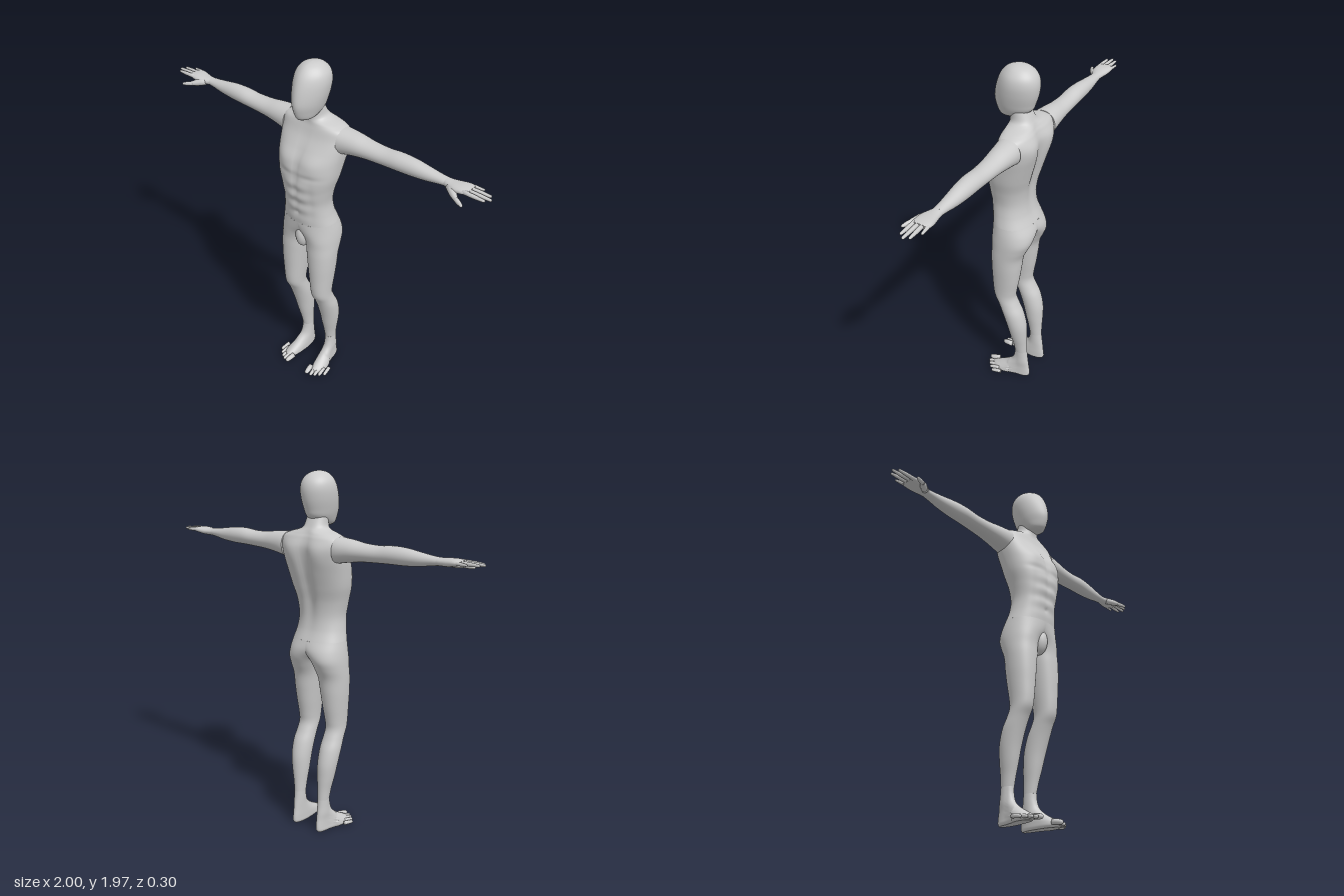
import * as THREE from 'three';

const material = new THREE.MeshStandardMaterial({ color: 0xcccccc });
const bump = (d, w) => Math.exp(-(d * d) / (w * w));

// Smooth blend through rows of numbers; t counts rows.
function sampleRow(rows, t) {
  const i = Math.min(Math.floor(t), rows.length - 2), f = t - i;
  const at = k => rows[Math.max(0, Math.min(rows.length - 1, k))];
  const [a, b, c, d] = [at(i - 1), at(i), at(i + 1), at(i + 2)];
  return b.map((p, k) => p + 0.5 * f * (c[k] - a[k]
    + f * (2 * a[k] - 5 * p + 4 * c[k] - d[k] + f * (3 * (p - c[k]) + d[k] - a[k]))));
}

// Skin over oval sections. Row: [position, u0, u1, v0, v1, squareness].
// Along y: u = x, v = z. Along x: u = z, v = y.
function loft(rows, { axis = 'y', seg = 40, steps = 6, deform } = {}) {
  const pos = [], index = [], n = (rows.length - 1) * steps;
  const p = new THREE.Vector3();
  for (let i = 0; i <= n; i++) {
    const [s, u0, u1, v0, v1, e] = sampleRow(rows, i / steps);
    for (let j = 0; j < seg; j++) {
      const t = j / seg * Math.PI * 2, c = Math.cos(t), q = Math.sin(t);
      const uu = Math.sign(c) * Math.abs(c) ** (2 / e), vv = Math.sign(q) * Math.abs(q) ** (2 / e);
      const u = (u0 + u1) / 2 + uu * (u1 - u0) / 2, v = (v0 + v1) / 2 + vv * (v1 - v0) / 2;
      if (axis === 'y') p.set(u, s, v); else p.set(s, v, u);
      if (deform) deform(p, vv);
      pos.push(p.x, p.y, p.z);
      if (i < n) {
        const a = i * seg + j, b = i * seg + (j + 1) % seg;
        index.push(a, a + seg, b, b, a + seg, b + seg);
      }
    }
  }
  // End caps with their own vertices
  for (const end of [0, n]) {
    const base = pos.length / 3, mid = [0, 0, 0];
    for (let j = 0; j < seg; j++) for (let k = 0; k < 3; k++) {
      const val = pos[(end * seg + j) * 3 + k];
      pos.push(val);
      mid[k] += val / seg;
    }
    pos.push(...mid);
    for (let j = 0; j < seg; j++) {
      const a = base + j, b = base + (j + 1) % seg;
      index.push(base + seg, ...(end ? [b, a] : [a, b]));
    }
  }
  const g = new THREE.BufferGeometry();
  g.setAttribute('position', new THREE.Float32BufferAttribute(pos, 3));
  g.setIndex(index);
  g.computeVertexNormals();
  return g;
}

// Tapered digit with a rounded tip, from a to b
function digit(a, b, r0, r1) {
  const A = new THREE.Vector3(...a), dir = new THREE.Vector3(...b).sub(A), L = dir.length();
  const profile = [[0, 0], [r0, 0], [r0 * 0.95, L * 0.3], [r0 * 0.95, L * 0.5], [r1, L - r1],
    [r1 * 0.75, L - r1 * 0.35], [r1 * 0.4, L - r1 * 0.08], [0, L]].map(q => new THREE.Vector2(...q));
  const g = new THREE.LatheGeometry(profile, 12);
  g.applyQuaternion(new THREE.Quaternion().setFromUnitVectors(new THREE.Vector3(0, 1, 0), dir.normalize()));
  return g.translate(A.x, A.y, A.z);
}

function mirrored(geometry) {
  const g = geometry.clone().scale(-1, 1, 1), ix = g.index.array;
  for (let i = 0; i < ix.length; i += 3) [ix[i], ix[i + 1]] = [ix[i + 1], ix[i]];
  return g;
}

export function createModel() {
  const model = new THREE.Group();
  const add = (name, g) => {
    const m = new THREE.Mesh(g, material);
    m.name = name;
    model.add(m);
  };
  const addPair = (name, g) => {
    add('left' + name, g);
    add('right' + name, mirrored(g));
  };

  // Head: a smooth egg narrowing toward the face
  add('head', loft([
    [1.69, -0.022, 0.022, 0.02, 0.08, 2], [1.705, -0.048, 0.048, -0.03, 0.1, 2],
    [1.74, -0.066, 0.066, -0.085, 0.115, 2], [1.78, -0.078, 0.078, -0.103, 0.122, 2],
    [1.83, -0.088, 0.088, -0.117, 0.115, 2], [1.88, -0.091, 0.091, -0.121, 0.1, 2],
    [1.92, -0.082, 0.082, -0.11, 0.08, 2], [1.95, -0.058, 0.058, -0.083, 0.052, 2],
    [1.965, -0.03, 0.03, -0.05, 0.022, 2], [1.97, -0.002, 0.002, -0.014, -0.01, 2],
  ], { deform: (p, f) => { p.x *= 1 - 0.25 * Math.max(0, f) ** 2; } }));

  // Torso with chest, belly and back muscles, ending in the neck
  add('torso', loft([
    [1.09, -0.155, 0.155, -0.118, 0.11, 2.2], [1.15, -0.141, 0.141, -0.096, 0.115, 2.2],
    [1.22, -0.135, 0.135, -0.087, 0.122, 2.2], [1.3, -0.149, 0.149, -0.094, 0.131, 2.2],
    [1.38, -0.17, 0.17, -0.114, 0.131, 2.3], [1.46, -0.182, 0.182, -0.135, 0.115, 2.4],
    [1.53, -0.19, 0.19, -0.146, 0.082, 2.6], [1.59, -0.192, 0.192, -0.147, 0.05, 2.8],
    [1.635, -0.19, 0.19, -0.132, 0.033, 2.6], [1.657, -0.15, 0.15, -0.12, 0.027, 2.3],
    [1.675, -0.09, 0.09, -0.11, 0.026, 2], [1.695, -0.065, 0.065, -0.098, 0.028, 2],
    [1.74, -0.058, 0.058, -0.075, 0.03, 2],
  ], { seg: 80, steps: 10, deform: (p, f) => {
    const { x, y } = p, ax = Math.abs(x);
    if (f > 0) {
      const belly = bump(y - 1.26, 0.13) * bump(ax, 0.09);
      p.z += f * (0.012 * bump(ax - 0.085, 0.06) * bump(y - 1.47, 0.06)
        - 0.007 * bump(ax, 0.016) * bump(y - 1.38, 0.2)
        - 0.005 * bump(y - 1.395, 0.016) * bump(ax - 0.08, 0.07)
        - 0.004 * bump(ax - 0.085, 0.018) * bump(y - 1.25, 0.13)
        + 0.004 * belly * Math.cos((y - 1.34) * 2 * Math.PI / 0.075)
        - 0.006 * bump(ax, 0.01) * bump(y - 1.16, 0.012));
    } else {
      p.z -= f * (0.022 * bump(ax, 0.035) * bump(y - 1.45, 0.22)
        - 0.01 * bump(ax - 0.095, 0.05) * bump(y - 1.56, 0.07));
    }
  } }));

  // Legs; the upper sections overlap to form the hips and buttocks
  addPair('Leg', loft([
    [0.19, 0.057, 0.116, -0.115, -0.042, 2], [0.25, 0.053, 0.124, -0.115, -0.03, 2],
    [0.32, 0.046, 0.138, -0.116, -0.013, 2], [0.4, 0.041, 0.15, -0.113, 0.006, 2],
    [0.48, 0.039, 0.155, -0.093, 0.031, 2], [0.54, 0.041, 0.151, -0.063, 0.054, 2.1],
    [0.59, 0.042, 0.149, -0.045, 0.08, 2.1], [0.64, 0.038, 0.151, -0.049, 0.089, 2.1],
    [0.72, 0.028, 0.158, -0.063, 0.093, 2.1], [0.8, 0.018, 0.165, -0.074, 0.096, 2.1],
    [0.88, 0.007, 0.169, -0.084, 0.096, 2.1], [0.94, -0.004, 0.17, -0.109, 0.094, 2.1],
    [0.99, -0.025, 0.169, -0.129, 0.098, 2.1], [1.04, -0.085, 0.164, -0.132, 0.105, 2.1],
    [1.09, -0.155, 0.155, -0.118, 0.11, 2.2],
  ], { seg: 48 }));
  add('groin', new THREE.SphereGeometry(1, 24, 16).scale(0.042, 0.075, 0.05).translate(0, 0.985, 0.058));

  // Feet, widening and turning outward toward the toes
  addPair('Foot', loft([
    [0, 0.062, 0.112, -0.125, 0.1, 2.4], [0.012, 0.056, 0.118, -0.134, 0.112, 2.4],
    [0.03, 0.055, 0.118, -0.135, 0.1, 2.3], [0.05, 0.055, 0.117, -0.133, 0.065, 2.2],
    [0.075, 0.056, 0.116, -0.129, 0.02, 2.1], [0.11, 0.057, 0.117, -0.125, -0.022, 2],
    [0.15, 0.057, 0.116, -0.119, -0.038, 2], [0.192, 0.057, 0.116, -0.115, -0.042, 2],
  ], { deform: p => {
    const k = Math.max(0, p.z + 0.06);
    p.x = 0.087 + (p.x - 0.087) * (1 + 3.2 * k) + 0.16 * k;
    if (p.z > 0) p.z -= Math.max(0, p.x - 0.1) * 0.6;
  } }));
  for (let i = 0; i < 5; i++) {
    const x = 0.078 + i * 0.021 + (i ? 0.006 : 0), z = 0.142 - i * 0.004 - i * i * 0.0028;
    const r = i ? 0.0115 : 0.016;
    addPair('Toe' + (i + 1), digit([x - 0.008, r + 0.01, z - 0.06], [x, r, z], r, r * 0.85));
  }

  // Arms held straight out
  addPair('Arm', loft([
    [0.17, -0.122, 0.02, 1.515, 1.652, 2.2], [0.2, -0.122, 0.016, 1.522, 1.65, 2.1],
    [0.26, -0.117, 0.008, 1.532, 1.645, 2], [0.33, -0.11, 0, 1.541, 1.635, 2],
    [0.42, -0.105, -0.005, 1.546, 1.632, 2], [0.5, -0.104, -0.006, 1.549, 1.639, 2],
    [0.58, -0.101, -0.012, 1.551, 1.637, 2], [0.66, -0.094, -0.02, 1.558, 1.626, 2],
    [0.72, -0.087, -0.027, 1.568, 1.618, 2], [0.762, -0.084, -0.03, 1.574, 1.614, 2],
  ], { axis: 'x' }));

  // Hands: flat palm, four spread fingers and a lowered thumb
  addPair('Palm', loft([
    [0.76, -0.084, -0.03, 1.574, 1.614, 2], [0.79, -0.088, -0.018, 1.574, 1.614, 2.1],
    [0.82, -0.095, -0.008, 1.575, 1.616, 2.2], [0.85, -0.101, -0.008, 1.581, 1.617, 2.3],
    [0.875, -0.102, -0.011, 1.587, 1.615, 2.4], [0.892, -0.095, -0.016, 1.592, 1.612, 2.2],
  ], { axis: 'x', seg: 28 }));
  [['IndexFinger', -0.022, 0.98, -0.022], ['MiddleFinger', -0.044, 1, -0.047],
    ['RingFinger', -0.067, 0.985, -0.073], ['LittleFinger', -0.089, 0.935, -0.099]].forEach(([name, z0, x1, z1], i) => {
    const r = i === 3 ? 0.0095 : 0.011;
    addPair(name, digit([i === 3 ? 0.85 : 0.865, 1.602, z0], [x1, 1.6, z1], r, r * 0.65));
  });
  addPair('ThumbBase', digit([0.79, 1.59, -0.035], [0.862, 1.575, 0.02], 0.019, 0.012));
  addPair('Thumb', digit([0.845, 1.578, 0.009], [0.902, 1.568, 0.036], 0.012, 0.008));

  return model;
}
